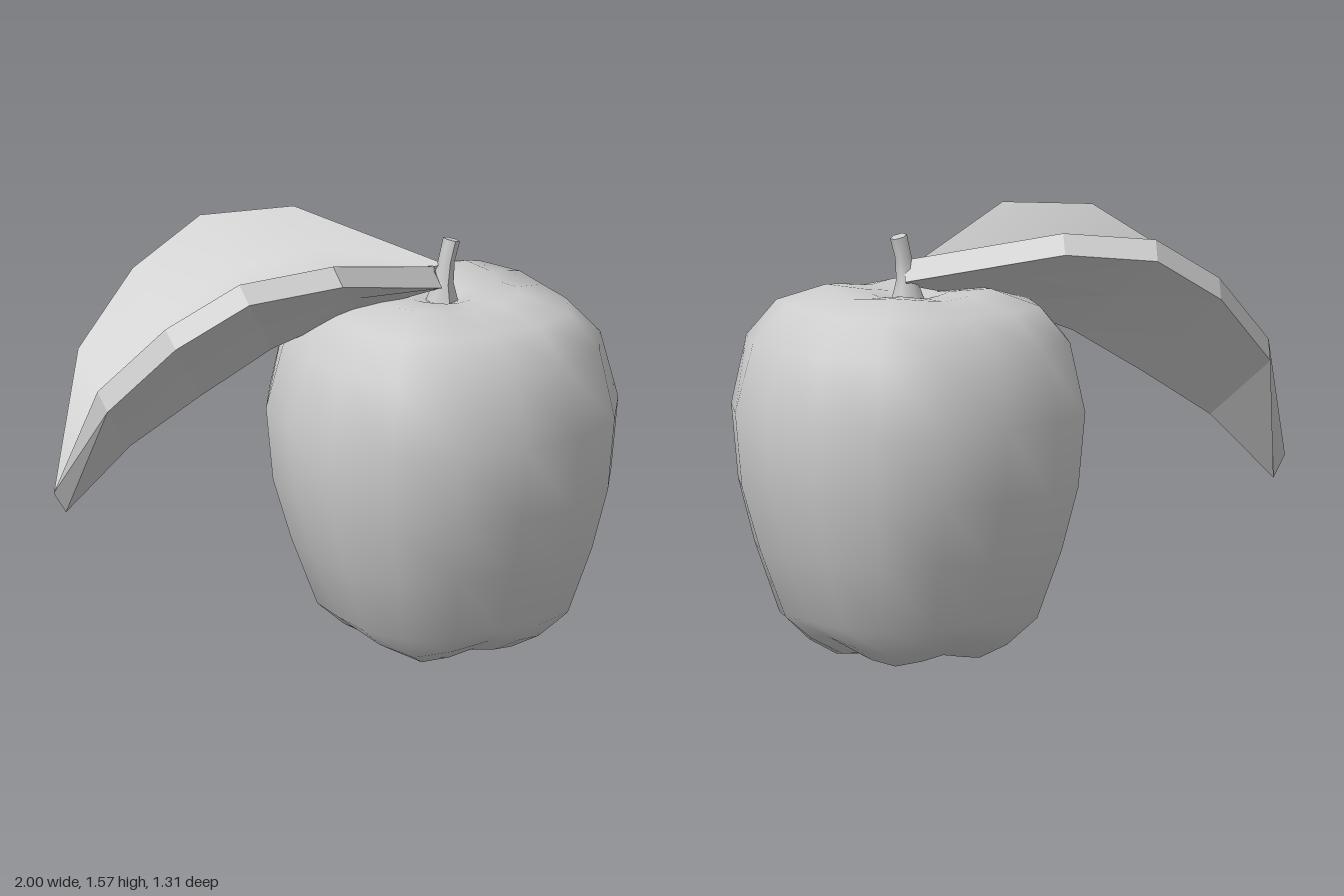
import * as THREE from 'three';
import { mergeVertices } from 'three/addons/utils/BufferGeometryUtils.js';

const grey = new THREE.MeshStandardMaterial({ color: 0xcccccc });
grey.name = 'plain grey';

const lerp = THREE.MathUtils.lerp;

function addMesh(group, name, geometry) {
  const mesh = new THREE.Mesh(geometry, grey);
  mesh.name = name;
  group.add(mesh);
  return mesh;
}

// Surface through rows of points; flat gives faceted normals
function grid(rows, flat) {
  const cols = rows[0].length;
  const index = [];
  for (let i = 0; i < rows.length - 1; i++) {
    for (let j = 0; j < cols - 1; j++) {
      const a = i * cols + j, b = a + cols;
      index.push(a, a + 1, b, a + 1, b + 1, b);
    }
  }
  let g = new THREE.BufferGeometry();
  g.setAttribute('position', new THREE.Float32BufferAttribute(rows.flat(2), 3));
  g.setIndex(index);
  g = flat ? g.toNonIndexed() : mergeVertices(g);
  g.computeVertexNormals();
  return g;
}

// Sixteen-sided fruit: one profile over the creases, one over the four lobes
function appleGeometry() {
  // crease radius, crease height, lobe radius, lobe height
  const profile = [
    [0, 0.05, 0, 0.05], [0.12, 0.02, 0.14, 0.02], [0.22, 0.03, 0.26, 0],
    [0.35, 0.1, 0.36, 0.05], [0.43, 0.16, 0.47, 0.15], [0.525, 0.4, 0.56, 0.4],
    [0.6, 0.63, 0.62, 0.63], [0.625, 0.9, 0.645, 0.9], [0.55, 1.15, 0.59, 1.15],
    [0.41, 1.28, 0.48, 1.28], [0.24, 1.315, 0.3, 1.34], [0.12, 1.31, 0.15, 1.325],
    [0.05, 1.29, 0.05, 1.29], [0, 1.27, 0, 1.27],
  ];
  const sides = 16;
  let g = new THREE.LatheGeometry(profile.map(p => new THREE.Vector2(p[0], p[1])), sides);
  const pos = g.attributes.position;
  for (let k = 0; k < pos.count; k++) {
    const [r0, y0, r1, y1] = profile[k % profile.length];
    const angle = Math.floor(k / profile.length) / sides * Math.PI * 2;
    const lobe = Math.sin(2 * angle) ** 2;
    const r = lerp(r0, r1, lobe);
    pos.setXYZ(k, r * Math.sin(angle), lerp(y0, y1, lobe), r * Math.cos(angle));
  }
  g.deleteAttribute('uv');
  g.deleteAttribute('normal');
  g = mergeVertices(g, 1e-4);
  g.computeVertexNormals();
  return g;
}

// Short stem, wide at the foot, narrow waist, leaning to one side
function stemGeometry() {
  const g = new THREE.CylinderGeometry(0.03, 0.062, 0.24, 6, 3);
  const pos = g.attributes.position;
  for (let k = 0; k < pos.count; k++) {
    const t = pos.getY(k) / 0.24 + 0.5;
    const s = 1 - 0.3 * Math.sin(Math.PI * t);
    const x = pos.getX(k) * s, z = pos.getZ(k) * s;
    pos.setXYZ(k, x + 0.035 * t * t, pos.getY(k) - (t > 0.99 ? x * 0.3 : 0), z + 0.01 * t);
  }
  g.computeVertexNormals();
  return g;
}

// Stations from base to tip: front edge, midrib, back edge
const under = [
  [[0.33, 1.36, 0.1], [0.36, 1.34, 0.04], [0.4, 1.36, 0]],
  [[-0.19, 1.51, 0.31], [0.06, 1.27, -0.05], [0.05, 1.49, -0.5]],
  [[-0.54, 1.48, 0.25], [-0.23, 1.15, -0.145], [-0.25, 1.46, -0.65]],
  [[-0.77, 1.31, 0.12], [-0.48, 0.99, -0.22], [-0.52, 1.3, -0.66]],
  [[-0.95, 1.05, -0.06], [-0.73, 0.82, -0.29], [-0.77, 1.05, -0.61]],
  [[-0.95, 0.58, -0.37], [-0.95, 0.58, -0.37], [-0.95, 0.58, -0.37]],
];
// Thickness of the leaf at front edge, midrib, back edge and tip
const rise = [[-0.005, 0.06, -0.065], [-0.03, 0.085, -0.01], [-0.03, 0.07, 0.055]];
const tipRise = [-0.05, 0.08, 0];

function buildLeaf() {
  const mix = (a, b) => a.map((v, i) => (v + b[i]) / 2);
  const five = ([f, m, b]) => [f, mix(f, m), m, mix(m, b), b];
  const last = under.length - 1;
  const upper = under.map((row, i) =>
    row.map((p, j) => p.map((v, k) => v + (i === last ? tipRise : rise[j])[k])));
  const top = upper.map(five), bottom = under.map(five);

  // Outline: along the front edge, around the tip, back along the other edge
  const outline = rows => [
    ...rows.map(r => r[0]),
    ...rows.slice(0, last).reverse().map(r => r[4]),
    ...rows[0].slice(0, 4).reverse(),
  ];
  const leaf = new THREE.Group();
  leaf.name = 'leaf';
  addMesh(leaf, 'leafTop', grid(top, false));
  addMesh(leaf, 'leafUnderside', grid(bottom.map(r => [...r].reverse()), true));
  addMesh(leaf, 'leafRim', grid([outline(top), outline(bottom)], true));
  return leaf;
}

export function createModel() {
  const model = new THREE.Group();
  model.name = 'apple';
  addMesh(model, 'fruit', appleGeometry()).position.set(0.37, 0, 0.025);
  addMesh(model, 'stem', stemGeometry()).position.set(0.36, 1.4, 0.04);
  model.add(buildLeaf());
  return model;
}
